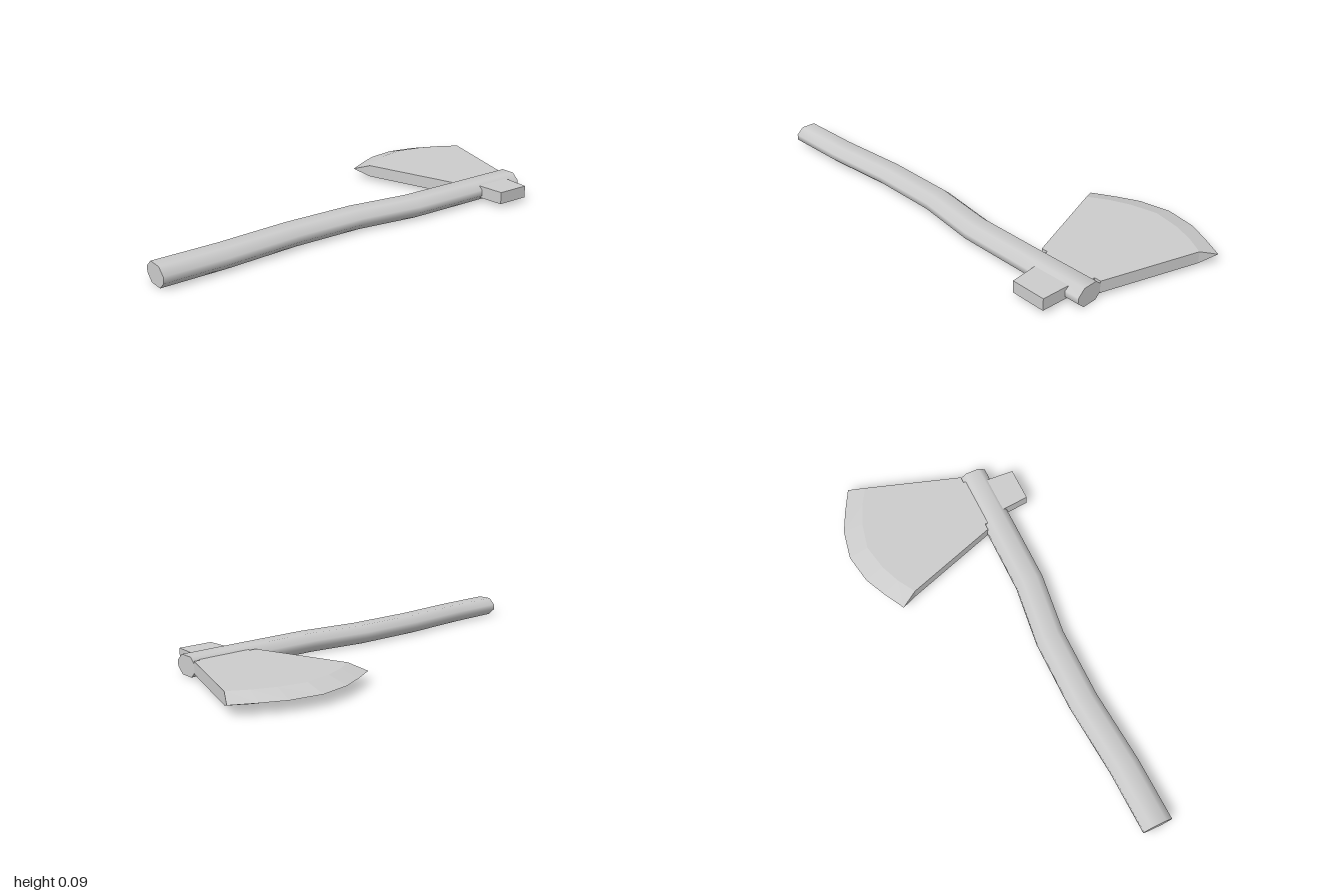
import * as THREE from 'three';

const MID = 0.0425; // height of the centre plane
const LOW = 0.018, HIGH = 0.072; // faces of the axe head

// Skin over rings ordered along +z, each counter-clockwise seen from +z; ends are capped.
function loft(rings, smooth) {
  const n = rings[0].length;
  const pos = rings.flat(2);
  const index = [];
  for (let i = 0; i < rings.length - 1; i++) {
    for (let j = 0; j < n; j++) {
      const a = i * n + j, b = i * n + (j + 1) % n;
      index.push(a, b, b + n, a, b + n, a + n);
    }
  }
  // caps use their own vertices so their rims stay sharp
  const start = pos.length / 3;
  pos.push(...rings[0].flat(), ...rings[rings.length - 1].flat());
  for (let j = 1; j < n - 1; j++) {
    index.push(start, start + j + 1, start + j);
    index.push(start + n, start + n + j, start + n + j + 1);
  }
  let geo = new THREE.BufferGeometry();
  geo.setAttribute('position', new THREE.Float32BufferAttribute(pos, 3));
  geo.setIndex(index);
  if (!smooth) geo = geo.toNonIndexed();
  geo.computeVertexNormals();
  return geo;
}

export function createModel() {
  const group = new THREE.Group();
  const smoothMat = new THREE.MeshStandardMaterial({ color: 0xcccccc });
  const flatMat = new THREE.MeshStandardMaterial({ color: 0xcccccc, flatShading: true });
  const add = (name, geo, mat) => {
    const mesh = new THREE.Mesh(geo, mat);
    mesh.name = name;
    group.add(mesh);
  };

  // Handle: flattened octagon swept along a gently bent line of [x, z]
  const octagon = [
    [0.065, -0.013], [0.065, 0.013], [0.033, 0.0425], [-0.033, 0.0425],
    [-0.065, 0.013], [-0.065, -0.013], [-0.033, -0.0425], [0.033, -0.0425],
  ];
  const path = [[0.255, -0.82], [0.258, -0.5], [0.258, -0.21], [0.222, 0.07],
    [0.222, 0.39], [0.248, 0.72], [0.255, 1]];
  add('handle', loft(path.map(([x, z]) => octagon.map(([u, v]) => [x + u, MID + v, z])), true), smoothMat);

  // Blade: rows of [edge x, edge z, bevel x, bevel z] fanning out from a straight root
  const rows = [
    [-0.305, -1, -0.23, -0.96],
    [-0.36, -0.9, -0.278, -0.88],
    [-0.405, -0.805, -0.315, -0.79],
    [-0.43, -0.67, -0.34, -0.67],
    [-0.405, -0.535, -0.315, -0.55],
    [-0.36, -0.44, -0.278, -0.46],
    [-0.305, -0.34, -0.23, -0.38],
  ];
  add('blade', loft(rows.map(([ex, ez, bx, bz], i) => {
    const rootZ = -0.82 + 0.05 * i;
    return [[bx, HIGH, bz], [ex, 0.045, ez], [bx, LOW, bz], [0.197, LOW, rootZ], [0.197, HIGH, rootZ]];
  }), false), flatMat);

  // Neck: joins the blade root to the handle
  const neck = new THREE.BoxGeometry(0.07, HIGH - LOW, 0.24);
  neck.translate(0.225, (HIGH + LOW) / 2, -0.67);
  add('bladeNeck', neck, flatMat);

  // Poll: block behind the handle, narrowing slightly outward
  add('poll', loft([-1, 1].map((s) => {
    const inner = -0.67 + s * 0.09, outer = -0.67 + s * 0.077;
    return [[0.25, LOW, inner], [0.43, LOW, outer], [0.43, HIGH, outer], [0.25, HIGH, inner]];
  }), false), flatMat);

  return group;
}
